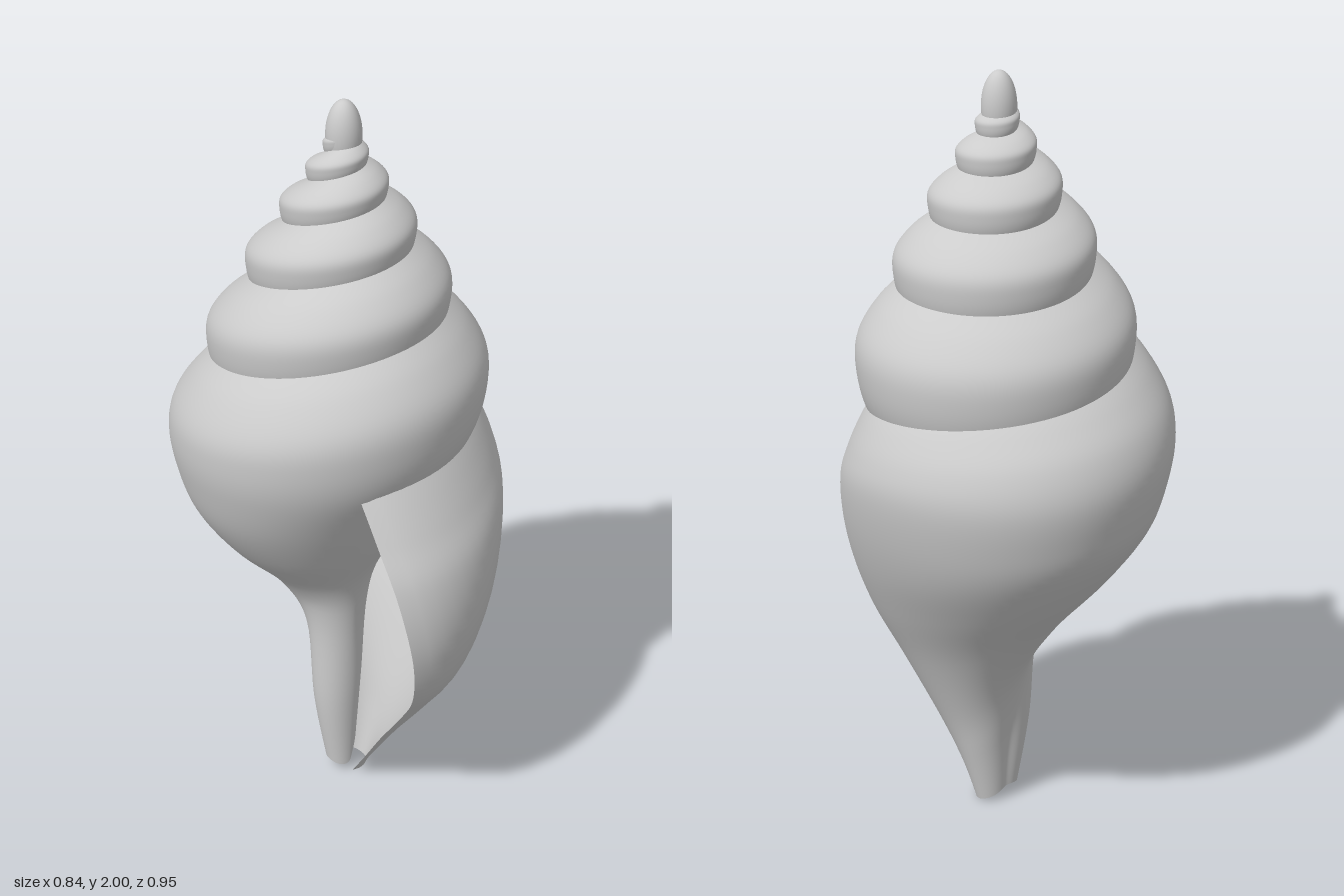
import * as THREE from 'three';

// Cross-sections [radius, y] from suture to canal tip, one per quarter of the last turn
const quarters = [
  [[.275, 1.46], [.34, 1.395], [.39, 1.31], [.397, 1.22], [.372, 1.11], [.30, .98], [.21, .82], [.12, .66], [.08, .5], [.06, .25], [.04, .035]],
  [[.295, 1.36], [.36, 1.29], [.41, 1.2], [.42, 1.12], [.405, 1.02], [.36, .89], [.27, .76], [.135, .62], [.088, .5], [.08, .25], [.05, .04]],
  [[.315, 1.255], [.37, 1.2], [.425, 1.125], [.45, 1.03], [.435, .92], [.40, .82], [.31, .69], [.19, .55], [.09, .4], [.045, .22], [.03, .04]],
  [[.337, 1.19], [.372, 1.135], [.405, 1.06], [.418, .98], [.40, .86], [.36, .73], [.30, .6], [.22, .45], [.14, .27], [.1, .14], [.065, .005]],
  [[.36, 1.13], [.40, 1.06], [.447, .97], [.495, .87], [.515, .75], [.504, .63], [.455, .5], [.36, .38], [.23, .23], [.12, .09], [.055, .01]],
].map(section => section.map(([r, y]) => new THREE.Vector2(r, y)));

// Older whorls: the first section shrunk towards the apex, n turns back,
// with its top tucked under the whorl above and each turn sagging at the back
function olderSection(n) {
  const kr = Math.exp(-(.25 * n + .045 * n * n));
  const ky = Math.exp(-(.37 * n + .012 * n * n));
  const sag = .095 * ky * Math.sin(Math.PI * n) ** 2;
  const tuck = [.025 * n, .01 * n];
  return quarters[0].map((p, j) => new THREE.Vector2((p.x - (tuck[j] ?? 0)) * kr, 2 - (2 - p.y) * ky - sag));
}

// Rails join matching section points around the last turn
const keys = [olderSection(.25), ...quarters];
const rails = quarters[0].map((_, j) => new THREE.SplineCurve(keys.map(k => k[j])));

// Section at s turns (0 = outer lip, negative = older)
function sectionAt(s) {
  return s < -1 ? olderSection(-1 - s) : rails.map(rail => rail.getPoint((s + 1.25) / 1.25));
}

// The spire axis leans slightly back at mid height
const axisZ = y => -.033 * Math.sin(Math.PI * Math.min(Math.max(y / 2, 0), 1));

function spiralShell() {
  const turns = 6.3, perTurn = 80, rows = 60, steps = turns * perTurn;
  const positions = [], index = [];
  for (let i = 0; i <= steps; i++) {
    const s = i / perTurn - turns;
    const profile = new THREE.SplineCurve(sectionAt(s));
    // last quarter turn: flatter in the middle, lip edge curled inwards
    const t = Math.max(0, (s + .25) / .25);
    const squeeze = 1 - .03 * Math.sin(Math.PI * t) ** 2 - .04 * t ** 14;
    for (let j = 0; j <= rows; j++) {
      const v = j / rows;
      const p = profile.getPoint(v);
      const r = p.x * squeeze;
      // the lip reaches further round at the top than at the canal
      const angle = 2 * Math.PI * (s + .067 * (1 - v) ** 1.8 * t * t);
      positions.push(-r * Math.sin(angle), p.y, r * Math.cos(angle) + axisZ(p.y));
      if (i < steps && j < rows) {
        const a = i * (rows + 1) + j, b = a + rows + 1;
        index.push(a, b, a + 1, b, b + 1, a + 1);
      }
    }
  }
  const geometry = new THREE.BufferGeometry();
  geometry.setAttribute('position', new THREE.Float32BufferAttribute(positions, 3));
  geometry.setIndex(index);
  geometry.computeVertexNormals();
  return geometry;
}

export function createModel() {
  const group = new THREE.Group();
  group.name = 'seaShell';
  const material = new THREE.MeshStandardMaterial({ color: 0xcccccc, side: THREE.DoubleSide });

  // Whorls, body, lip and canal in one sweep
  const shell = new THREE.Mesh(spiralShell(), material);
  shell.name = 'whorls';
  group.add(shell);

  // Rounded apex
  const apex = new THREE.Mesh(new THREE.SphereGeometry(.045, 32, 20), material);
  apex.name = 'apex';
  apex.scale.y = 2;
  apex.position.set(.004, 1.91, axisZ(1.91));
  group.add(apex);
  return group;
}
